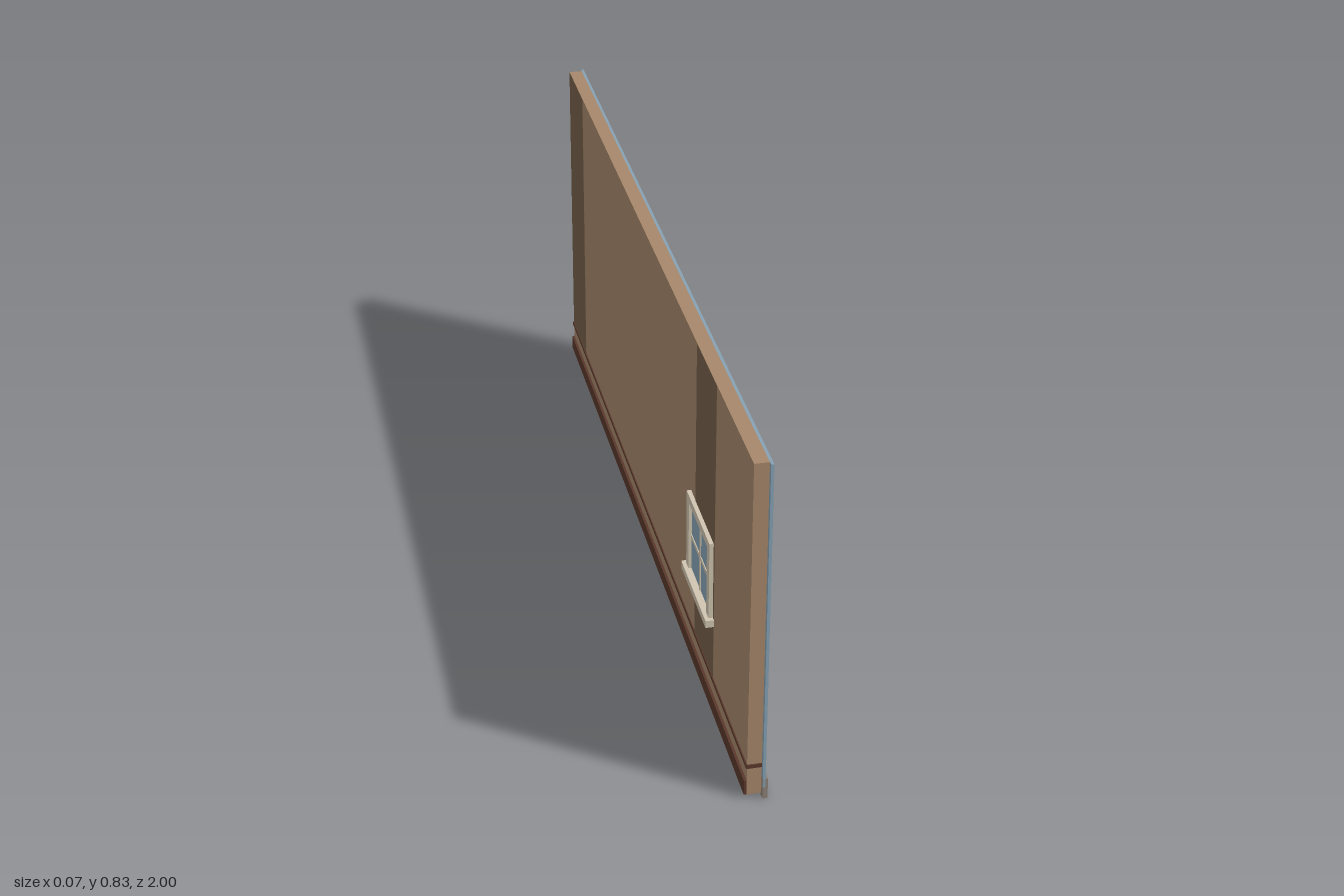
import * as THREE from 'three';

const mat = (name, color, side = THREE.FrontSide) => {
  const m = new THREE.MeshStandardMaterial({ color, side });
  m.name = name;
  return m;
};

export function createModel() {
  const tan = mat('tan plaster', 0xa6876a);
  const darkTan = mat('dark tan plaster', 0x756049);
  const blue = mat('blue siding', 0x86a2b4);
  const stone = mat('grey stone', 0x8b8177);
  const wood = mat('dark wood', 0x5a382c);
  const trim = mat('cream trim', 0xd0c5b0);
  const glass = mat('dark glass', 0x364260);
  const paleGlass = mat('pale glass', 0x86a3b6);

  const model = new THREE.Group();
  model.name = 'houseWall';

  // Box given by its limits on each axis
  const box = (parent, name, material, [x0, x1], [y0, y1], [z0, z1]) => {
    const mesh = new THREE.Mesh(new THREE.BoxGeometry(x1 - x0, y1 - y0, z1 - z0), material);
    mesh.position.set((x0 + x1) / 2, (y0 + y1) / 2, (z0 + z1) / 2);
    mesh.name = name;
    parent.add(mesh);
  };
  const group = (name) => {
    const g = new THREE.Group();
    g.name = name;
    model.add(g);
    return g;
  };

  // Wall layers
  box(model, 'wallCore', tan, [-0.016, 0.016], [0.008, 0.83], [-0.99, 0.99]);
  box(model, 'siding', blue, [0.016, 0.0225], [0.03, 0.83], [-1, 1]);
  box(model, 'foundation', stone, [0.016, 0.0275], [0, 0.052], [-1, 1]);

  // Interior mouldings
  box(model, 'baseboard', wood, [-0.022, -0.016], [0.009, 0.045], [-0.99, 0.99]);
  box(model, 'chairRail', wood, [-0.0185, 0.0155], [0.079, 0.088], [-0.993, 0.993]);

  // Darker plaster strips on the interior face
  for (const z of [[-0.99, -0.81], [0.495, 0.678]])
    box(model, 'plasterStrip', darkTan, [-0.0165, -0.0155], [0.088, 0.8295], z);

  // Exterior windows: backing frame, glass and crossed glazing bars
  const outerWindow = (name, [y0, y1], [z0, z1], border) => {
    const g = group(name);
    const y = [y0 + border, y1 - border];
    const z = [z0 + border, z1 - border];
    const cy = (y0 + y1) / 2, cz = (z0 + z1) / 2, h = 0.005;
    box(g, 'frame', trim, [0.022, 0.031], [y0, y1], [z0, z1]);
    box(g, 'glass', glass, [0.030, 0.032], y, z);
    box(g, 'verticalBar', trim, [0.031, 0.033], y, [cz - h, cz + h]);
    box(g, 'horizontalBar', trim, [0.031, 0.033], [cy - h, cy + h], z);
  };
  outerWindow('largeOuterWindow', [0.215, 0.425], [0.45, 0.68], 0.016);
  outerWindow('smallOuterWindow', [0.535, 0.687], [-0.643, -0.477], 0.015);

  // Interior window: pale pane in an open frame with a deep sill
  const inner = group('innerWindow');
  const x = [-0.026, -0.016];
  box(inner, 'pane', paleGlass, [-0.019, -0.016], [0.24, 0.42], [0.46, 0.66]);
  box(inner, 'topFrame', trim, x, [0.415, 0.435], [0.45, 0.67]);
  for (const z of [[0.45, 0.473], [0.647, 0.67]]) box(inner, 'sideFrame', trim, x, [0.24, 0.415], z);
  box(inner, 'verticalBar', trim, [-0.021, -0.018], [0.243, 0.415], [0.555, 0.565]);
  box(inner, 'horizontalBar', trim, [-0.021, -0.018], [0.324, 0.334], [0.473, 0.647]);
  box(inner, 'sill', trim, [-0.035, -0.016], [0.225, 0.243], [0.44, 0.68]);

  return model;
}
